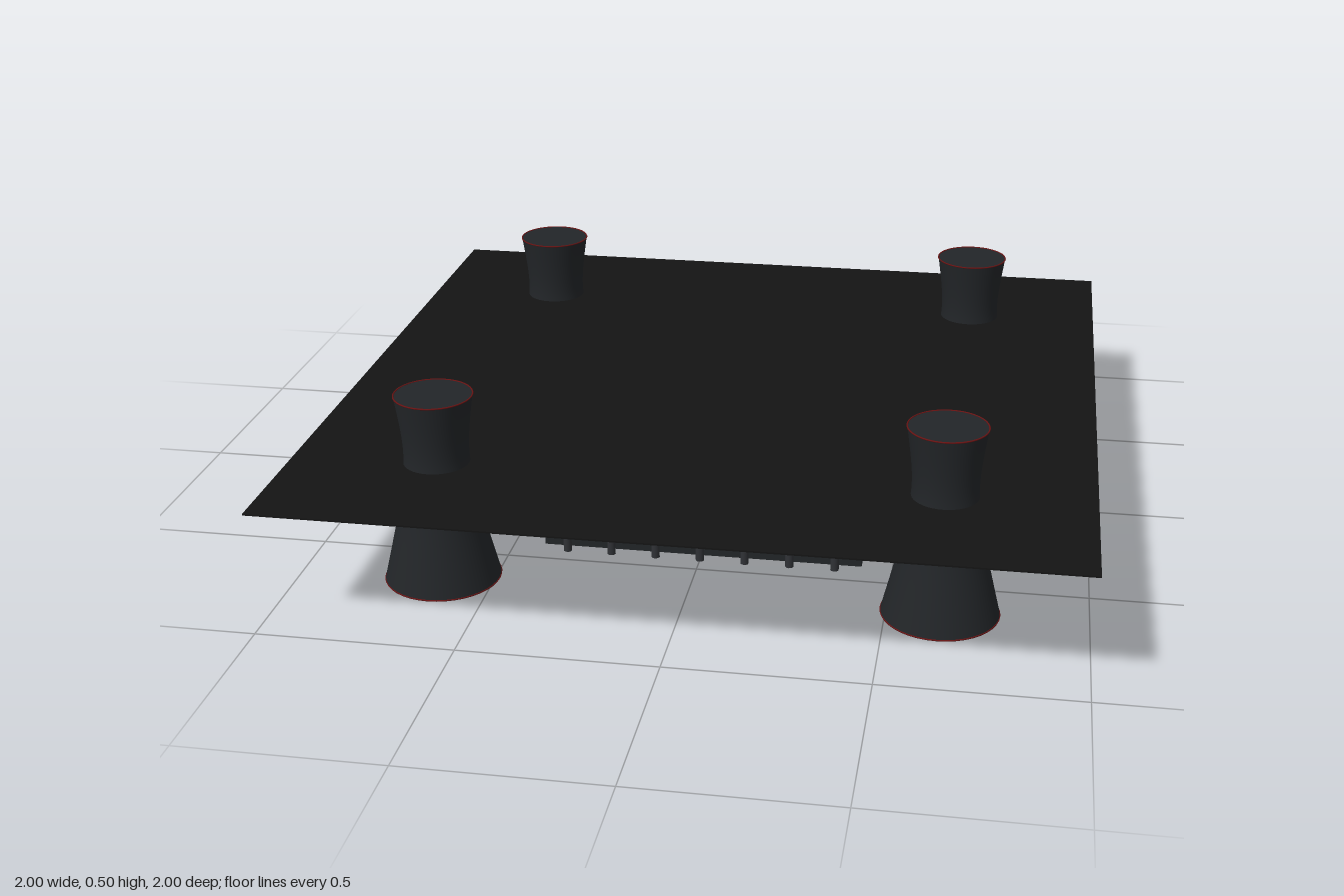
import * as THREE from 'three';

const mat = (color, side = THREE.FrontSide) => new THREE.MeshStandardMaterial({ color, side });
const DARK = mat(0x222528), SLAB = mat(0x141414), STEEL = mat(0x303236);
const RED = mat(0x6a1414), BRONZE = mat(0x4a3a28), AMBER = mat(0xc89a40);

function add(parent, name, geometry, material, x = 0, y = 0, z = 0) {
  const mesh = new THREE.Mesh(geometry, material);
  mesh.name = name;
  mesh.position.set(x, y, z);
  parent.add(mesh);
  return mesh;
}
const box = (w, h, d) => new THREE.BoxGeometry(w, h, d);

// Waisted tower with three thin red bands
function makeTower() {
  const tower = new THREE.Group();
  tower.name = 'coolingTower';
  const wall = new THREE.SplineCurve([
    [0.148, 0.008], [0.128, 0.09], [0.108, 0.175], [0.095, 0.245],
    [0.084, 0.32], [0.082, 0.37], [0.087, 0.43], [0.098, 0.508],
  ].map(p => new THREE.Vector2(...p))).getPoints(24);
  add(tower, 'towerWall', new THREE.LatheGeometry(wall, 40), DARK);
  const top = new THREE.CircleGeometry(0.098, 40).rotateX(-Math.PI / 2);
  add(tower, 'towerCap', top, DARK, 0, 0.508, 0);
  const base = new THREE.CircleGeometry(0.148, 40).rotateX(Math.PI / 2);
  add(tower, 'towerBase', base, DARK, 0, 0.008, 0);
  for (const [r, y] of [[0.098, 0.508], [0.095, 0.245], [0.147, 0.01]]) {
    add(tower, 'towerBand', new THREE.TorusGeometry(r, 0.002, 6, 40).rotateX(Math.PI / 2), RED, 0, y, 0);
  }
  return tower;
}

// Two-stage column with a collar
function makeColumn() {
  const column = new THREE.Group();
  column.name = 'column';
  add(column, 'columnShaft', new THREE.CylinderGeometry(0.011, 0.011, 0.185, 12), STEEL, 0, 0.0975, 0);
  add(column, 'columnCollar', new THREE.CylinderGeometry(0.012, 0.012, 0.01, 12), BRONZE, 0, 0.185, 0);
  add(column, 'columnTop', new THREE.CylinderGeometry(0.007, 0.007, 0.09, 12), STEEL, 0, 0.235, 0);
  return column;
}

export function createModel() {
  const model = new THREE.Group();
  model.name = 'pavilionWithTowers';

  // Wide thin canopy
  add(model, 'canopy', box(2, 0.004, 2), SLAB, 0, 0.326, 0);

  // Corner towers
  for (const sx of [-1, 1]) for (const sz of [-1, 1]) {
    const tower = makeTower();
    tower.position.set(sx * 0.634, 0, sz * 0.634);
    model.add(tower);
  }

  // Central hall, cornice and roof units
  add(model, 'hall', box(0.84, 0.15, 0.84), DARK, 0, 0.08, 0);
  add(model, 'corniceStripe', box(0.846, 0.005, 0.846), BRONZE, 0, 0.154, 0);
  add(model, 'hallRoof', box(0.85, 0.016, 0.85), DARK, 0, 0.163, 0);
  for (const sx of [-1, 1]) add(model, 'roofUnit', box(0.1, 0.022, 0.3), STEEL, sx * 0.36, 0.181, 0);
  add(model, 'cornerLamp', box(0.012, 0.008, 0.012), AMBER, 0.429, 0.05, -0.429);

  // Seven columns along each of the four sides
  for (let side = 0; side < 4; side++) {
    const row = new THREE.Group();
    row.name = 'columnRow';
    row.rotation.y = side * Math.PI / 2;
    for (let i = -3; i <= 3; i++) {
      const column = makeColumn();
      column.position.set(i * 0.1175, 0, 0.447);
      row.add(column);
    }
    model.add(row);
  }

  // Two crossing layers of pergola bars
  for (const z of [-0.5, -0.4, -0.267, -0.133, 0, 0.133, 0.267, 0.4, 0.5]) {
    add(model, 'crossBar', box(1.07, 0.011, 0.008), STEEL, 0, 0.295, z);
  }
  for (const x of [-0.5, -0.4, -0.3, -0.2, 0, 0.2, 0.3, 0.4, 0.5]) {
    add(model, 'longBar', box(0.008, 0.011, 1.07), STEEL, x, 0.284, 0);
  }

  // Sagging cables beneath the bars
  for (const sx of [-1, 1]) for (const sz of [-1, 1]) {
    const curve = new THREE.CatmullRomCurve3([
      [0, 0.275, 0.03], [0.1, 0.235, 0.05], [0.21, 0.202, 0.08],
      [0.31, 0.222, 0.12], [0.4, 0.275, 0.15],
    ].map(([x, y, z]) => new THREE.Vector3(sx * x, y, sz * z)));
    add(model, 'saggingCable', new THREE.TubeGeometry(curve, 32, 0.0015, 5), STEEL);
    const outer = new THREE.QuadraticBezierCurve3(
      new THREE.Vector3(0, 0.28, sz * 0.03),
      new THREE.Vector3(sx * 0.2, 0.24, sz * 0.1),
      new THREE.Vector3(sx * 0.4, 0.2, sz * 0.12));
    add(model, 'slantCable', new THREE.TubeGeometry(outer, 20, 0.0015, 5), STEEL);
  }
  for (const z of [-0.15, 0.15]) add(model, 'straightCable', box(1, 0.003, 0.003), STEEL, 0, 0.266, z);

  return model;
}
